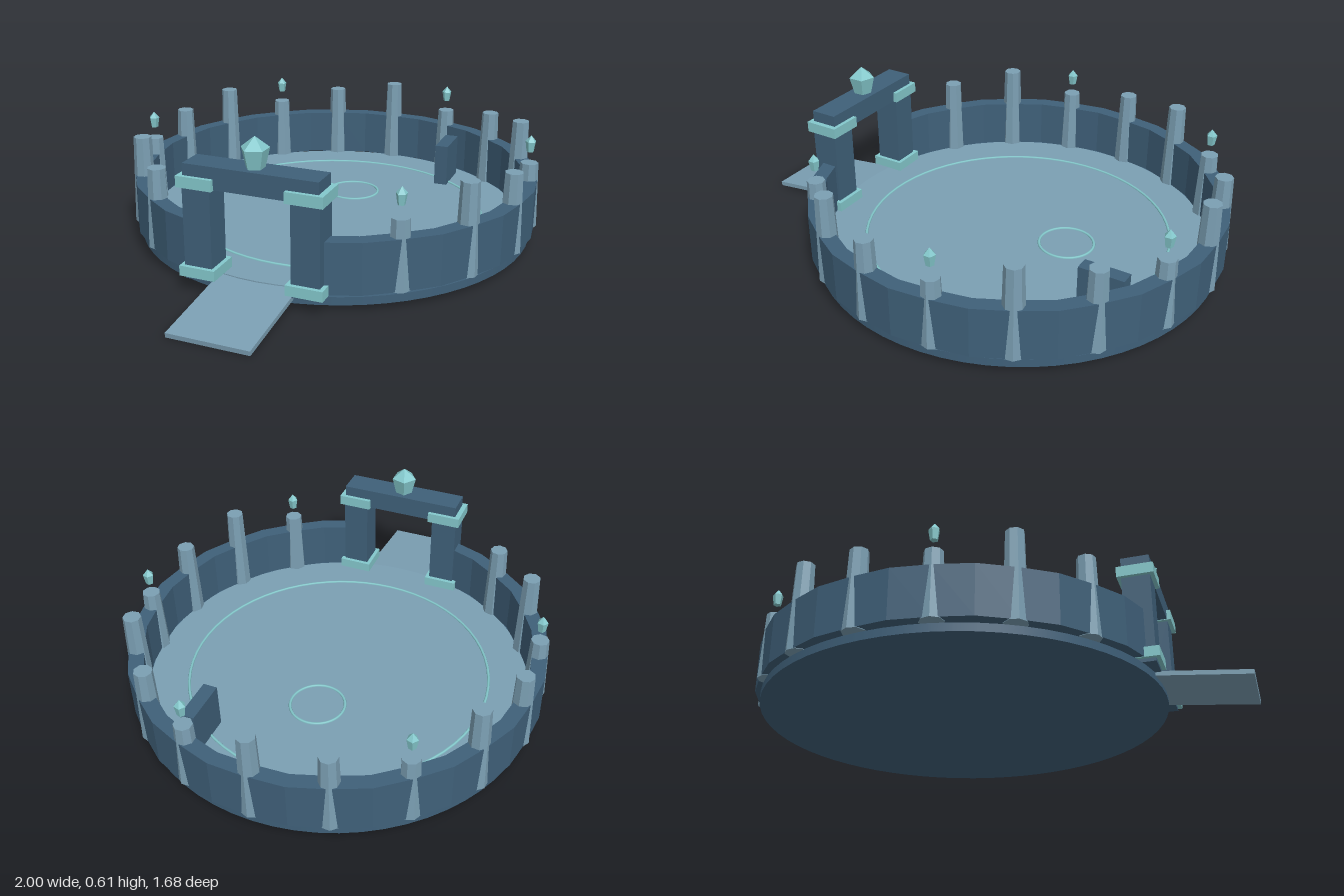
import * as THREE from 'three';

const mat = (color, flatShading = true) => new THREE.MeshStandardMaterial({ color, flatShading });
const DARK = mat(0x3f6079), PALE = mat(0x7b9fb3), GLOW = mat(0x84c8cc);
const SMOOTH_DARK = mat(0x3f6079, false), SMOOTH_PALE = mat(0x7b9fb3, false), SMOOTH_GLOW = mat(0x84c8cc, false);
const rad = THREE.MathUtils.degToRad;

function add(parent, name, geometry, material, x = 0, y = 0, z = 0) {
  const mesh = new THREE.Mesh(geometry, material);
  mesh.name = name;
  mesh.position.set(x, y, z);
  parent.add(mesh);
  return mesh;
}

// Box given by its bottom and top heights
const block = (parent, name, w, d, y0, y1, material, x, z) =>
  add(parent, name, new THREE.BoxGeometry(w, y1 - y0, d), material, x, (y0 + y1) / 2, z);

// Faceted gem: flared body with a pointed tip, base at y = 0
function crystal(parent, name, r, h, x, y, z) {
  const profile = [[0, 0], [r * 0.68, 0], [r, h * 0.62], [0, h]].map(p => new THREE.Vector2(...p));
  return add(parent, name, new THREE.LatheGeometry(profile, 5), GLOW, x, y, z);
}

// Flat ring marking on the floor
function floorRing(parent, name, r, x) {
  const ring = add(parent, name, new THREE.TorusGeometry(r, 0.006, 6, 64), SMOOTH_GLOW, x, 0.068, 0);
  ring.rotation.x = Math.PI / 2;
}

export function createModel() {
  const model = new THREE.Group();
  model.name = 'arena';

  // Everything is laid out with the gate on the local +x axis, then turned
  const arena = new THREE.Group();
  arena.name = 'arenaBody';
  arena.position.x = 0.155;
  arena.rotation.y = Math.PI + rad(18);
  model.add(arena);

  // Base and floor
  add(arena, 'base', new THREE.CylinderGeometry(0.82, 0.82, 0.032, 64), SMOOTH_DARK, 0, 0.039, 0);
  add(arena, 'floor', new THREE.CylinderGeometry(0.78, 0.78, 0.013, 64), SMOOTH_PALE, 0, 0.0615, 0);
  floorRing(arena, 'largeFloorRing', 0.62, 0);
  floorRing(arena, 'smallFloorRing', 0.11, -0.226);
  block(arena, 'floorBlock', 0.18, 0.057, 0.068, 0.25, DARK, -0.546, -0.34);

  // Faceted wall, open at the gate
  const count = 15, step = 20.34;
  const first = 180 - step * (count - 1) / 2;
  const angles = [18.5];
  for (let i = 0; i < count * 2 + 1; i++) angles.push(first + (i - 1) * step / 2);
  angles.push(341.5);
  const arc = (r) => angles.map((a, i) => {
    const k = i % 2 ? r : r - 0.006;
    return new THREE.Vector2(k * Math.cos(rad(a)), k * Math.sin(rad(a)));
  });
  const outline = new THREE.Shape([...arc(0.842), ...arc(0.782).reverse()]);
  const wall = new THREE.ExtrudeGeometry(outline, { depth: 0.2, bevelEnabled: false });
  wall.rotateX(Math.PI / 2);
  add(arena, 'wall', wall, DARK, 0, 0.27, 0);

  // Pillars in three repeating heights; the short ones carry floating crystals
  const tops = [0.39, 0.43, 0.34];
  for (let i = 0; i < count; i++) {
    const a = rad(first + i * step), x = 0.8 * Math.cos(a), z = 0.8 * Math.sin(a);
    const h = tops[i % 3] - 0.068;
    const pillar = add(arena, 'pillar', new THREE.CylinderGeometry(0.036, 0.046, h, 8), PALE, x, 0.068 + h / 2, z);
    pillar.rotation.y = -a;
    if (i % 3 === 2) crystal(arena, 'pillarCrystal', 0.022, 0.068, x, 0.386, z);
  }

  // Gate: two towers with trim, a lintel and a large crystal
  const gate = new THREE.Group();
  gate.name = 'gate';
  gate.position.x = 0.773;
  arena.add(gate);
  for (const s of [-1, 1]) {
    block(gate, 'gateTower', 0.11, 0.11, 0.055, 0.42, DARK, 0, s * 0.21);
    block(gate, 'towerBaseTrim', 0.142, 0.142, 0.068, 0.108, GLOW, 0, s * 0.21);
    block(gate, 'towerCapTrim', 0.142, 0.142, 0.412, 0.455, GLOW, 0, s * 0.21);
  }
  block(gate, 'gateLintel', 0.11, 0.52, 0.415, 0.5, DARK, 0, 0);
  crystal(gate, 'gateCrystal', 0.054, 0.115, 0, 0.5, 0);

  // Entrance ramp sloping down and outward
  const ramp = add(arena, 'ramp', new THREE.BoxGeometry(0.4, 0.018, 0.316), PALE, 0.96, 0.034, 0);
  ramp.rotation.z = -Math.atan(0.045 / 0.4);

  return model;
}
